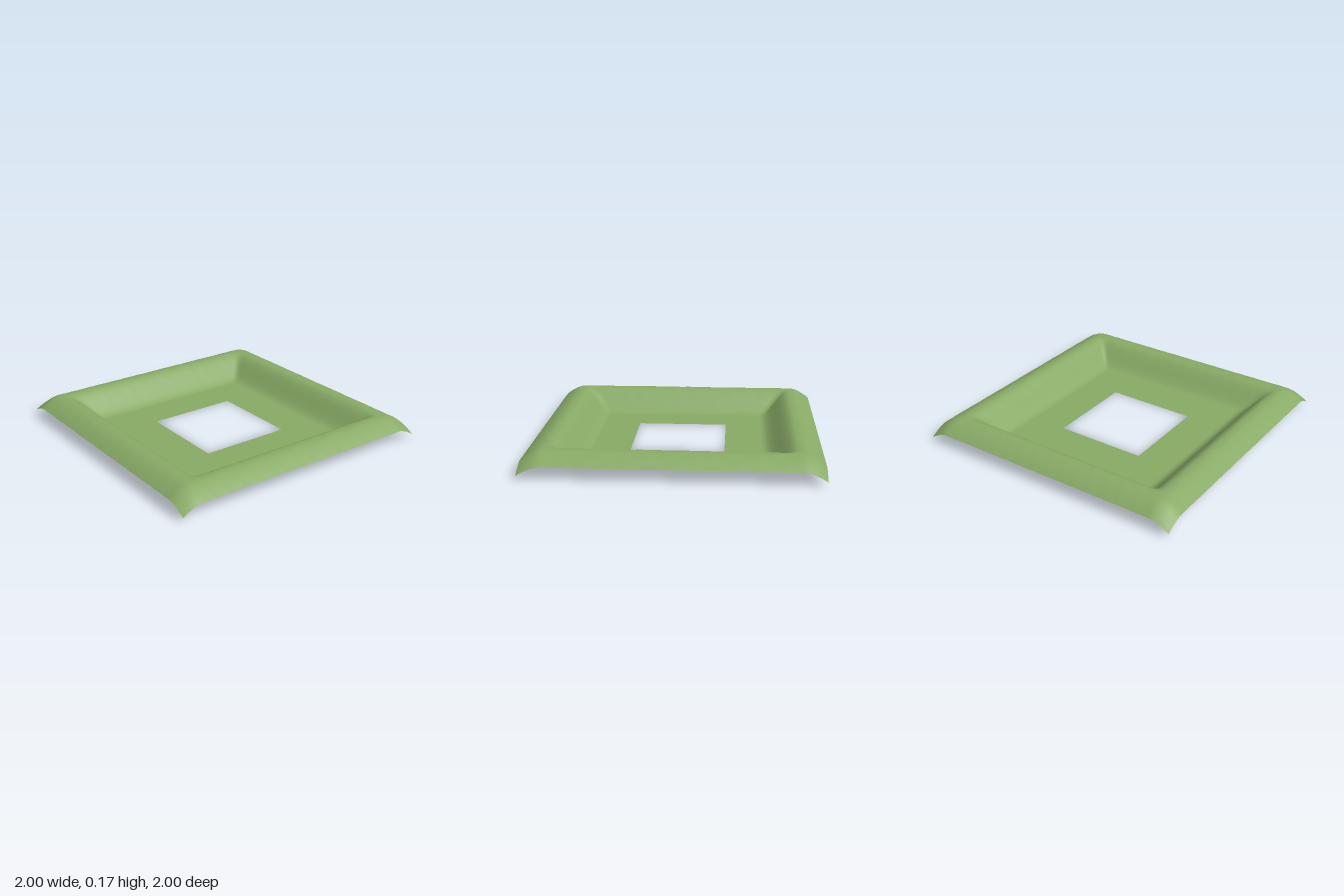
import * as THREE from 'three';

const FLOOR = 0.6, HOLE = 1 / 3, RIDGE = 0.164, LIP = 0.074;

// How far the outer lip has curled down at distance d from the centre line
function curl(d) {
  const t = Math.max(0, (Math.abs(d) - 0.855) / 0.145);
  return LIP * Math.pow(t, 1.6);
}

// Height of the rim: a sloped inner bank, a rounded ridge and a drooping lip
function rimHeight(x, z) {
  const ax = Math.abs(x), az = Math.abs(z);
  const m = Math.max(ax, az), n = Math.min(ax, az);
  const r = m * Math.pow(1 + Math.pow(n / m, 24), 1 / 24); // softly mitred square
  const bank = THREE.MathUtils.smoothstep(Math.max(m, r - 0.012), 0.605, 0.83);
  const a = curl(x), b = curl(z);
  // Slight hand-shaped unevenness along the ridge
  const ripple = 0.0012 * Math.sin(x * 31 + z * 17) * Math.sin(z * 37 - x * 13);
  return bank * (RIDGE + ripple) - (a + b - 2.4 * a * b);
}

function square(path, s) {
  path.moveTo(-s, -s);
  path.lineTo(s, -s);
  path.lineTo(s, s);
  path.lineTo(-s, s);
  path.closePath();
  return path;
}

export function createModel() {
  const group = new THREE.Group();
  group.name = 'squareTray';
  const green = new THREE.MeshStandardMaterial({ color: 0x88aa66, side: THREE.DoubleSide });
  green.name = 'leaf green';

  // Rim: a grid raised by the height rule, without the cells of the floor
  const rimGeo = new THREE.PlaneGeometry(2, 2, 100, 100).rotateX(-Math.PI / 2);
  const pos = rimGeo.attributes.position;
  for (let i = 0; i < pos.count; i++) pos.setY(i, rimHeight(pos.getX(i), pos.getZ(i)));
  rimGeo.computeVertexNormals();
  const index = rimGeo.index.array, kept = [];
  for (let i = 0; i < index.length; i += 3) {
    const tri = [index[i], index[i + 1], index[i + 2]];
    const cx = tri.reduce((s, v) => s + pos.getX(v), 0) / 3;
    const cz = tri.reduce((s, v) => s + pos.getZ(v), 0) / 3;
    if (Math.max(Math.abs(cx), Math.abs(cz)) > FLOOR) kept.push(...tri);
  }
  rimGeo.setIndex(kept);
  const rim = new THREE.Mesh(rimGeo, green);
  rim.name = 'curvedRim';

  // Flat floor with the square opening
  const shape = square(new THREE.Shape(), FLOOR);
  shape.holes.push(square(new THREE.Path(), HOLE));
  const floor = new THREE.Mesh(new THREE.ShapeGeometry(shape).rotateX(-Math.PI / 2), green);
  floor.name = 'floor';

  group.add(rim, floor);
  return group;
}
